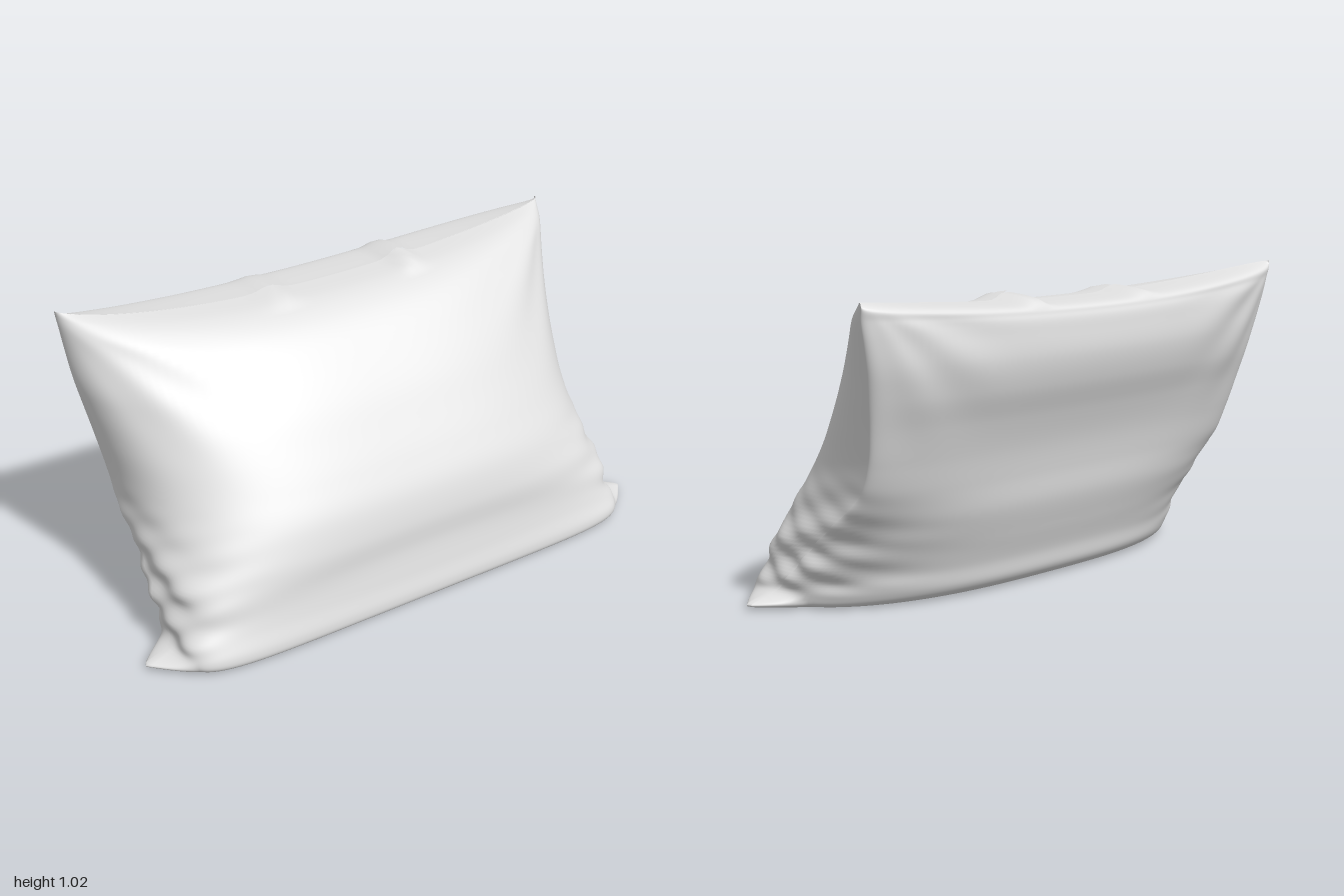
import * as THREE from 'three';

// Cross-sections from base to top seam:
// [centre y, front z, back z, edge half-width, edge z, edge lift, front x power, front z power, back z power]
const SECTIONS = [
  [0.000, 0.375, -0.12, 0.86, 0.21, 0.00, 0.30, 0.42, 1.00],
  [0.012, 0.404, -0.16, 0.89, 0.21, 0.00, 0.30, 0.42, 1.00],
  [0.045, 0.408, -0.19, 0.895, 0.20, 0.00, 0.30, 0.42, 1.00],
  [0.110, 0.394, -0.205, 0.885, 0.14, 0.00, 0.33, 0.46, 1.00],
  [0.200, 0.385, -0.24, 0.880, 0.06, 0.00, 0.40, 0.54, 1.00],
  [0.300, 0.375, -0.275, 0.872, -0.06, 0.00, 0.47, 0.63, 1.00],
  [0.400, 0.352, -0.292, 0.868, -0.17, 0.00, 0.53, 0.73, 1.00],
  [0.500, 0.300, -0.315, 0.874, -0.22, 0.00, 0.57, 0.82, 1.00],
  [0.600, 0.238, -0.350, 0.892, -0.25, 0.01, 0.61, 0.90, 1.00],
  [0.700, 0.172, -0.392, 0.912, -0.27, 0.01, 0.64, 0.97, 1.00],
  [0.790, 0.100, -0.413, 0.932, -0.29, 0.02, 0.66, 1.02, 1.00],
  [0.870, 0.025, -0.410, 0.945, -0.31, 0.03, 0.68, 1.05, 1.00],
  [0.920, -0.045, -0.400, 0.953, -0.32, 0.04, 0.70, 1.05, 1.00],
  [0.946, -0.120, -0.370, 0.957, -0.33, 0.05, 0.75, 1.05, 1.00],
  [0.955, -0.225, -0.225, 0.960, -0.33, 0.06, 0.85, 1.00, 1.00]
];

const smooth = (a, b, x) => THREE.MathUtils.smoothstep(x, a, b);
const bump = (x, centre, width) => Math.exp(-(((x - centre) / width) ** 2));

// Catmull-Rom blend of the section table
function sectionAt(t) {
  const last = SECTIONS.length - 1;
  const f = t * last, i = Math.min(Math.floor(f), last - 1), k = f - i;
  const [a, b, c, d] = [i - 1, i, i + 1, i + 2].map(n => SECTIONS[Math.max(0, Math.min(last, n))]);
  return b.map((v, n) => v + 0.5 * k * (c[n] - a[n]
    + k * (2 * a[n] - 5 * v + 4 * c[n] - d[n] + k * (3 * (v - c[n]) + d[n] - a[n]))));
}

function pointOn(t, turn) {
  const [yc, zf, zb, w, ze, lift, px, pf, pb] = sectionAt(t);
  // ease the angle so points gather near the side edges and the centre
  const q = Math.floor(turn * 4) % 4, r = turn * 4 - Math.floor(turn * 4);
  const angle = (q + r * r * (3 - 2 * r)) * Math.PI / 2;
  const c = Math.cos(angle), s = Math.sin(angle);
  const ac = Math.abs(c) < 1e-9 ? 0 : Math.abs(c);
  const as = Math.abs(s) < 1e-9 ? 0 : Math.abs(s);
  const side = Math.sign(c), front = s >= 0;

  const u = ac ** (front ? px : 0.72);
  let x = side * w * u;
  let z = ze + ((front ? zf : zb) - ze) * as ** (front ? pf : pb);
  let y = yc + lift * u * u;

  // pointed corners at the base, and uneven top corners
  const point = Math.max(0, 1 - Math.abs(z - 0.22) / 0.12);
  x += side * 0.11 * point * smooth(0.6, 0.95, ac) * bump(yc, 0.015, 0.022);
  const corner = smooth(0.75, 0.955, yc) * u ** 4;
  x += 0.01 * corner;
  y -= side * 0.01 * corner;
  z += side * 0.022 * corner;

  // slanting gathers low on the sides, fading out upward
  const gather = ac ** 1.5 * smooth(0.03, 0.1, yc) * (1 - smooth(0.15, 0.5, yc));
  x += side * gather * (0.009 * Math.sin(46 * y + 16 * z + side) + 0.006 * Math.sin(63 * y - 31 * z));

  // soft creases fanning from the top corners
  const dx = 0.96 - Math.abs(x), dy = 1.02 - y;
  const reach = Math.hypot(dx, dy);
  const fan = Math.sin(13 * Math.atan2(dx, dy) + side) * bump(reach, 0.3, 0.2) * as;
  z += (front ? 1 : -1) * 0.006 * fan * (1 - smooth(0.9, 0.95, yc));

  // broad sag across the front and small tucks in the top seam
  if (front) z += 0.004 * as * Math.sin(24 * y + 3 * x * x) * bump(y, 0.22, 0.13);
  const tuck = bump(x, -0.23, 0.05) + 1.5 * bump(x, 0.29, 0.04);
  y += 0.02 * tuck * smooth(0.935, 0.955, yc);
  return [x, Math.max(0, y), z];
}

function makeGeometry(pos, index) {
  const g = new THREE.BufferGeometry();
  g.setAttribute('position', new THREE.Float32BufferAttribute(pos, 3));
  g.setIndex(index);
  g.computeVertexNormals();
  return g;
}

function coverGeometry(rows, cols) {
  const pos = [], index = [];
  for (let i = 0; i <= rows; i++)
    for (let j = 0; j < cols; j++) pos.push(...pointOn(i / rows, j / cols));
  for (let i = 0; i < rows; i++)
    for (let j = 0; j < cols; j++) {
      const a = i * cols + j, b = i * cols + (j + 1) % cols;
      index.push(a, a + cols, b, b, a + cols, b + cols);
    }
  return makeGeometry(pos, index);
}

// Flat underside closing the lowest section
function baseGeometry(cols) {
  const pos = [0, 0, 0.15], index = [];
  for (let j = 0; j < cols; j++) {
    pos.push(...pointOn(0, j / cols));
    index.push(0, j + 1, (j + 1) % cols + 1);
  }
  return makeGeometry(pos, index);
}

export function createModel() {
  const model = new THREE.Group();
  model.name = 'pillow';
  const fabric = new THREE.MeshStandardMaterial({ color: 0xe2e2e2 });
  fabric.name = 'white fabric';

  const cover = new THREE.Mesh(coverGeometry(112, 192), fabric);
  cover.name = 'cover';
  const base = new THREE.Mesh(baseGeometry(192), fabric);
  base.name = 'underside';
  model.add(cover, base);
  return model;
}
